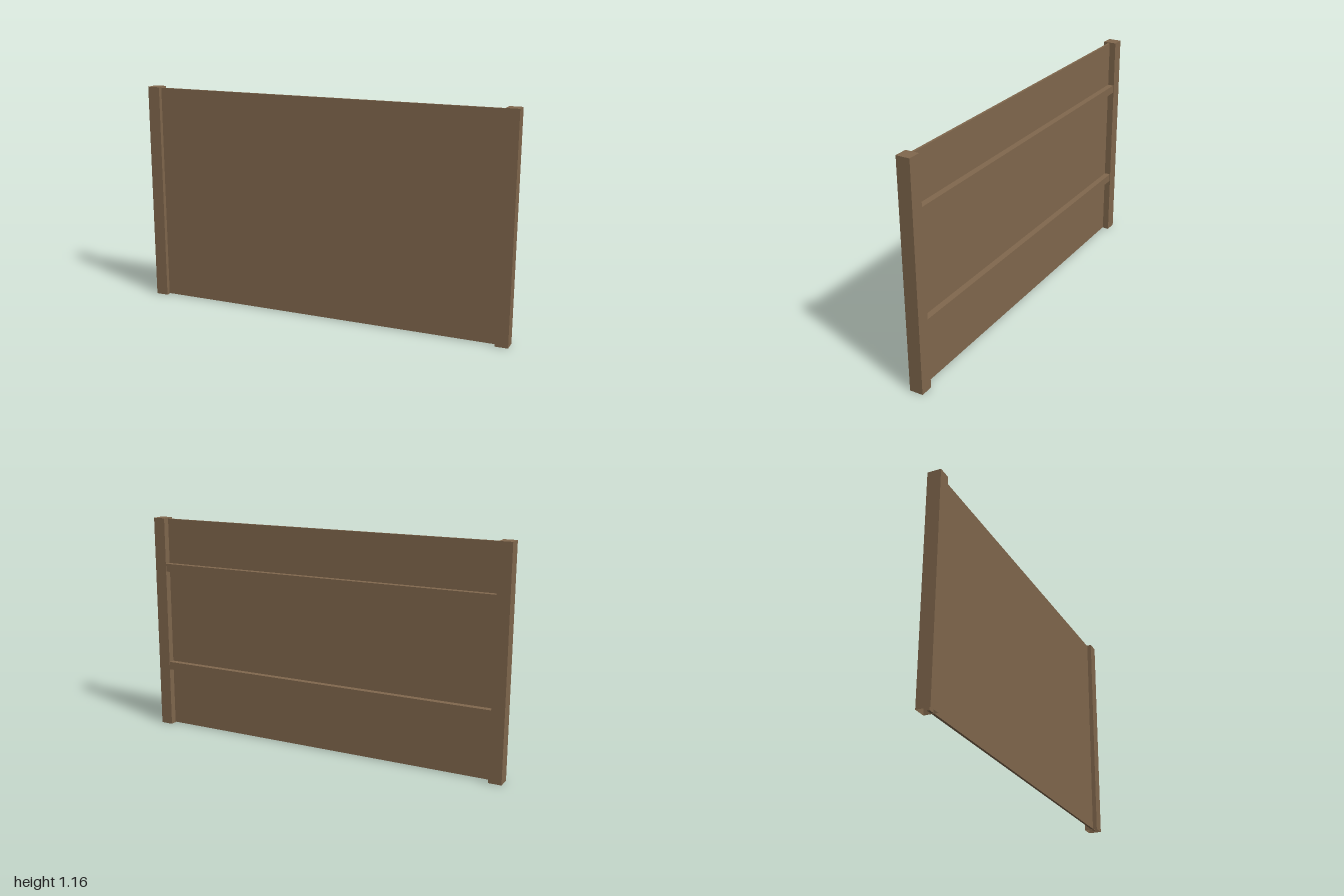
import * as THREE from 'three';

export function createModel() {
  const group = new THREE.Group();
  const wood = new THREE.MeshStandardMaterial({ color: 0x80674d });
  wood.name = 'brown wood';
  wood.side = THREE.DoubleSide;

  const addPart = (name, geometry, x, y, z) => {
    const mesh = new THREE.Mesh(geometry, wood);
    mesh.name = name;
    mesh.position.set(x, y, z);
    group.add(mesh);
  };

  // Square end posts, open underneath
  const postWidth = 0.067, postHeight = 1.165;
  for (const [name, side] of [['leftPost', 1], ['rightPost', -1]]) {
    const post = new THREE.BoxGeometry(postWidth, postHeight, 0.07);
    const index = Array.from(post.index.array);
    index.splice(18, 6); // drop the bottom face
    post.setIndex(index);
    post.clearGroups();
    addPart(name, post, side * (1 - postWidth / 2), postHeight / 2, 0);
  }

  // Thin boarding, let into the posts
  const span = 1.934;
  addPart('panel', new THREE.BoxGeometry(span, 1.157, 0.012), 0, 0.5815, 0.006);

  // Horizontal rails on the back
  for (const [name, y] of [['upperRail', 0.896], ['lowerRail', 0.342]]) {
    addPart(name, new THREE.BoxGeometry(span, 0.043, 0.032), 0, y, -0.016);
  }

  return group;
}
